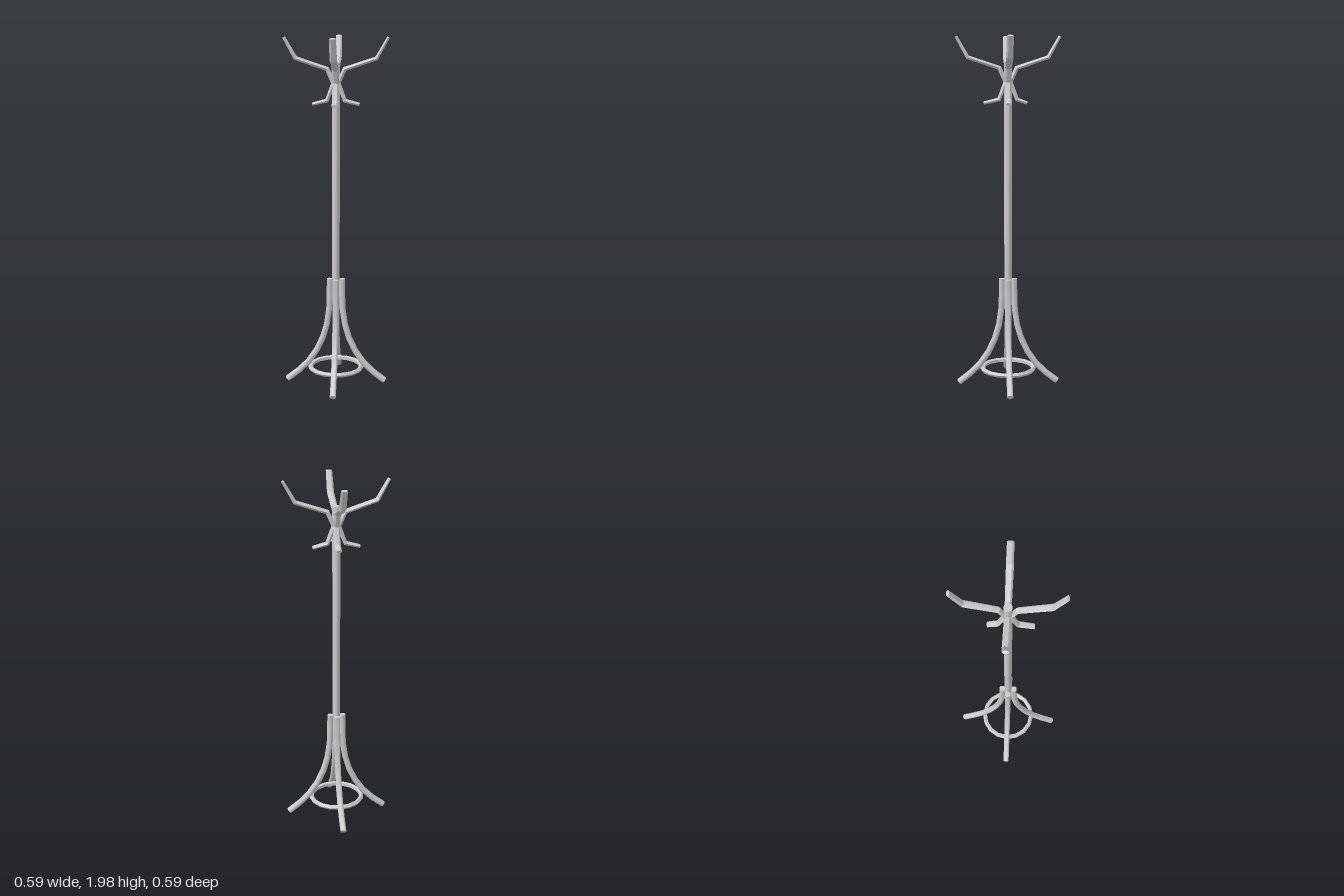
import * as THREE from 'three';
import { toCreasedNormals } from 'three/addons/utils/BufferGeometryUtils.js';

const smoothMat = new THREE.MeshStandardMaterial({ color: 0xcccccc });
const facetMat = new THREE.MeshStandardMaterial({ color: 0xcccccc, flatShading: true });

// Sweeps an elliptical section along a path in the xy plane, with mitred corners and end caps.
// Each path point is [x, y, in-plane half thickness, half width along z].
function sweep(path, sides) {
  const pos = [], idx = [], n = path.length;
  const pts = path.map(([x, y]) => new THREE.Vector2(x, y));
  const dir = (i) => pts[i + 1].clone().sub(pts[i]).normalize();
  path.forEach(([x, y, h, w], i) => {
    const d0 = dir(Math.max(i - 1, 0)), d1 = dir(Math.min(i, n - 2));
    const t = d0.clone().add(d1).normalize();
    const k = h / Math.max(t.dot(d1), 0.6);
    for (let j = 0; j < sides; j++) {
      const a = ((j + 0.5) / sides) * Math.PI * 2;
      pos.push(x - t.y * k * Math.cos(a), y + t.x * k * Math.cos(a), w * Math.sin(a));
    }
  });
  const start = n * sides, end = start + 1, last = (n - 1) * sides;
  pos.push(path[0][0], path[0][1], 0, path[n - 1][0], path[n - 1][1], 0);
  for (let j = 0; j < sides; j++) {
    const j2 = (j + 1) % sides;
    for (let i = 0; i < n - 1; i++) {
      const a = i * sides + j, b = i * sides + j2;
      idx.push(a, b, a + sides, b, b + sides, a + sides);
    }
    idx.push(start, j2, j, end, last + j, last + j2);
  }
  const g = new THREE.BufferGeometry();
  g.setAttribute('position', new THREE.Float32BufferAttribute(pos, 3));
  g.setIndex(idx);
  return toCreasedNormals(g, 0.9);
}

export function createModel() {
  const model = new THREE.Group();
  const add = (name, geometry, material) => {
    const mesh = new THREE.Mesh(geometry, material);
    mesh.name = name;
    model.add(mesh);
    return mesh;
  };

  // Central pole
  const pole = new THREE.CylinderGeometry(0.023, 0.021, 1.4, 12);
  add('pole', toCreasedNormals(pole, 0.9), smoothMat).position.y = 1.15;

  // Four bentwood legs, straight against the pole then splaying out
  const legPath = [
    [0.035, 0.63], [0.036, 0.53], [0.039, 0.45], [0.052, 0.36], [0.075, 0.28],
    [0.112, 0.2], [0.16, 0.13], [0.215, 0.075], [0.283, 0.022],
  ].map(([x, y]) => [x, y, 0.018, 0.018]);
  const legGeo = sweep(legPath, 8);

  // Four bent hooks: long upper arm, waist at the pole, short lower peg
  const hookPath = (reach) => [
    [0.286, 1.99, 0.009, 0.018], [0.222, 1.876, 0.012, 0.02], [0.048, 1.818, 0.013, 0.018],
    [0.013, 1.74, 0.014, 0.018], [0.05, 1.645, 0.012, 0.018], [reach, 1.625, 0.01, 0.016],
  ];
  const sidesOfPole = ['left', 'back', 'right', 'front'];
  const pegReach = [0.13, 0.105, 0.13, 0.135];
  sidesOfPole.forEach((side, i) => {
    const turn = (i * Math.PI) / 2;
    add(side + 'Leg', legGeo, smoothMat).rotation.y = turn;
    add(side + 'Hook', sweep(hookPath(pegReach[i]), 6), facetMat).rotation.y = turn;
  });

  // Faceted ring tying the legs together
  const ring = new THREE.TorusGeometry(0.148, 0.014, 5, 16);
  ring.rotateX(Math.PI / 2);
  add('legRing', ring, facetMat).position.y = 0.103;

  return model;
}
